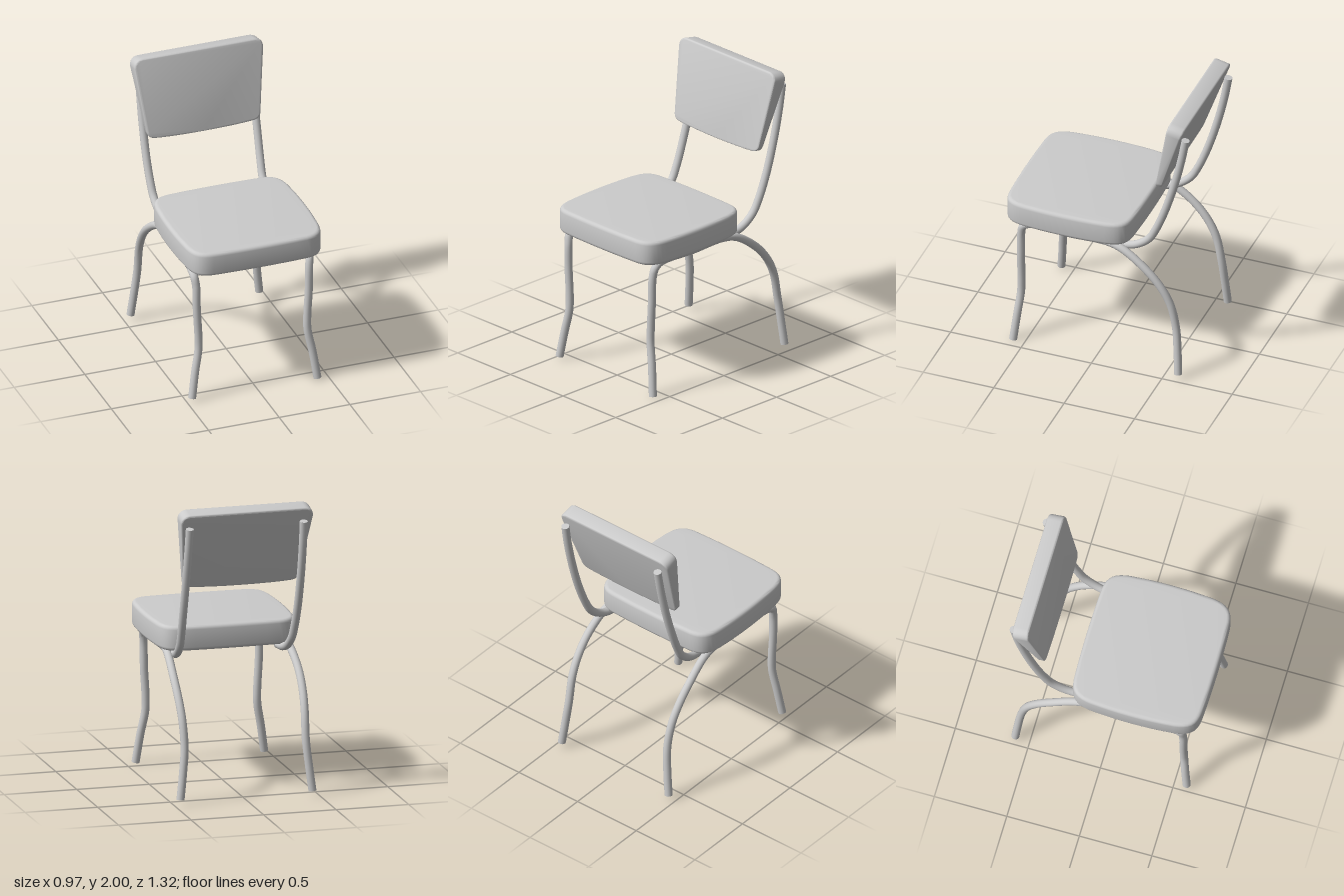
import * as THREE from 'three';
import { toCreasedNormals } from 'three/addons/utils/BufferGeometryUtils.js';

const grey = new THREE.MeshStandardMaterial({ color: 0xcccccc });
const TUBE = 0.027;

function mesh(name, geometry) {
  const m = new THREE.Mesh(geometry, grey);
  m.name = name;
  return m;
}

// Bent steel tube through [x, y, z] points, with flat end caps
function bentTube(name, points, radius = TUBE, segments = 64) {
  const curve = new THREE.CatmullRomCurve3(points.map(p => new THREE.Vector3(...p)), false, 'centripetal');
  const group = new THREE.Group();
  group.name = name;
  group.add(mesh(name + 'Tube', new THREE.TubeGeometry(curve, segments, radius, 14)));
  for (const end of [0, 1]) {
    const cap = mesh(name + 'Cap', new THREE.CircleGeometry(radius, 14));
    const out = curve.getTangent(end).multiplyScalar(end ? 1 : -1);
    cap.position.copy(curve.getPoint(end));
    cap.quaternion.setFromUnitVectors(new THREE.Vector3(0, 0, 1), out);
    group.add(cap);
  }
  return group;
}

// Padded seat: softly bowed rounded square with bevelled edges
function seat() {
  const b = 0.025, w = 0.483 - b, d = 0.45 - b;
  const s = new THREE.Shape();
  s.moveTo(-w + 0.13, -d + 0.008);
  s.quadraticCurveTo(0, -d - 0.008, w - 0.13, -d + 0.008);
  s.bezierCurveTo(w - 0.05, -d + 0.015, w - 0.025, -d + 0.05, w - 0.013, -d + 0.14);
  s.quadraticCurveTo(w + 0.013, 0, w - 0.013, d - 0.14);
  s.bezierCurveTo(w - 0.025, d - 0.05, w - 0.05, d - 0.015, w - 0.13, d - 0.008);
  s.quadraticCurveTo(0, d + 0.008, -w + 0.13, d - 0.008);
  s.bezierCurveTo(-w + 0.05, d - 0.015, -w + 0.025, d - 0.05, -w + 0.013, d - 0.14);
  s.quadraticCurveTo(-w - 0.013, 0, -w + 0.013, -d + 0.14);
  s.bezierCurveTo(-w + 0.025, -d + 0.05, -w + 0.05, -d + 0.015, -w + 0.13, -d + 0.008);
  const g = new THREE.ExtrudeGeometry(s, {
    depth: 0.17 - 2 * b, bevelThickness: b, bevelSize: b, bevelSegments: 4, curveSegments: 8,
  });
  g.rotateX(-Math.PI / 2);
  g.translate(0, 0.95 + b, 0.21);
  return mesh('seat', toCreasedNormals(g, 0.7));
}

// Backrest: tapered panel, thick at the top and thin at the bottom, leaning back
function backrest() {
  const b = 0.012, h = 0.56, depth = 0.1;
  const wb = 0.4 - b, wt = 0.455 - b, lo = b, hi = h - b;
  const s = new THREE.Shape();
  s.moveTo(-wb + 0.04, lo + 0.012);
  s.bezierCurveTo(-0.2, lo - 0.003, 0.2, lo - 0.003, wb - 0.04, lo + 0.012);
  s.quadraticCurveTo(wb - 0.004, lo + 0.016, wb, lo + 0.045);
  s.lineTo(wt, hi - 0.05);
  s.quadraticCurveTo(wt, hi - 0.004, wt - 0.05, hi);
  s.lineTo(-wt + 0.05, hi);
  s.quadraticCurveTo(-wt, hi - 0.004, -wt, hi - 0.05);
  s.lineTo(-wb, lo + 0.045);
  s.quadraticCurveTo(-wb + 0.004, lo + 0.016, -wb + 0.04, lo + 0.012);
  const g = new THREE.ExtrudeGeometry(s, {
    depth: depth - 2 * b, bevelThickness: b, bevelSize: b, bevelSegments: 3, curveSegments: 8,
  });
  g.translate(0, 0, b);
  // Map height and depth onto the wedge-shaped side profile
  const p = g.attributes.position, mix = THREE.MathUtils.lerp;
  for (let i = 0; i < p.count; i++) {
    const t = p.getY(i) / h, f = p.getZ(i) / depth;
    p.setY(i, mix(mix(1.432, 1.437, f), mix(1.975, 2.0, f), t));
    p.setZ(i, mix(mix(-0.445, -0.405, f), mix(-0.632, -0.52, f), t));
  }
  return mesh('backrest', toCreasedNormals(g, 0.7));
}

export function createModel() {
  const chair = new THREE.Group();
  chair.name = 'chair';
  chair.add(seat(), backrest());

  for (const side of [-1, 1]) {
    const label = side > 0 ? 'left' : 'right';
    const front = x => side * x - 0.017; // front legs sit slightly off centre
    const rear = x => side * x + 0.003;
    const post = x => side * x + 0.01;
    const footY = side > 0 ? 0.003 : 0.02;

    // Front leg, side rail and rear leg bent from one tube
    chair.add(bentTube(label + 'LegFrame', [
      [front(0.443), footY, 0.584],
      [front(0.415), 0.2, 0.565],
      [front(0.386), 0.36, 0.55],
      [front(0.385), 0.46, 0.547],
      [front(0.396), 0.66, 0.547],
      [front(0.4), 0.84, 0.543],
      [front(0.408), 0.905, 0.525],
      [front(0.408), 0.932, 0.47],
      [side * 0.408, 0.938, 0.2],
      [side * 0.412, 0.942, -0.08],
      [rear(0.42), 0.918, -0.19],
      [rear(0.43), 0.81, -0.35],
      [rear(0.428), 0.69, -0.46],
      [rear(0.422), 0.56, -0.53],
      [rear(0.418), 0.38, -0.57],
      [rear(0.435), 0.2, -0.588],
      [rear(0.455), 0.035, -0.6],
    ], TUBE, 110));

    // Back post curving up from under the seat
    chair.add(bentTube(label + 'BackPost', [
      [post(0.365), 0.922, -0.1],
      [post(0.37), 0.93, -0.2],
      [post(0.378), 0.96, -0.285],
      [post(0.385), 1.03, -0.37],
      [post(0.39), 1.12, -0.42],
      [post(0.395), 1.28, -0.483],
      [post(0.396), 1.5, -0.55],
      [post(0.395), 1.72, -0.602],
      [post(0.393), 1.888, -0.632],
    ]));
  }

  // Front rail under the seat joining the two front legs
  chair.add(bentTube('frontRail', [
    [-0.42, 0.93, 0.5], [-0.3, 0.932, 0.53], [0, 0.926, 0.54], [0.28, 0.932, 0.53], [0.39, 0.93, 0.5],
  ], 0.02, 32));

  return chair;
}
